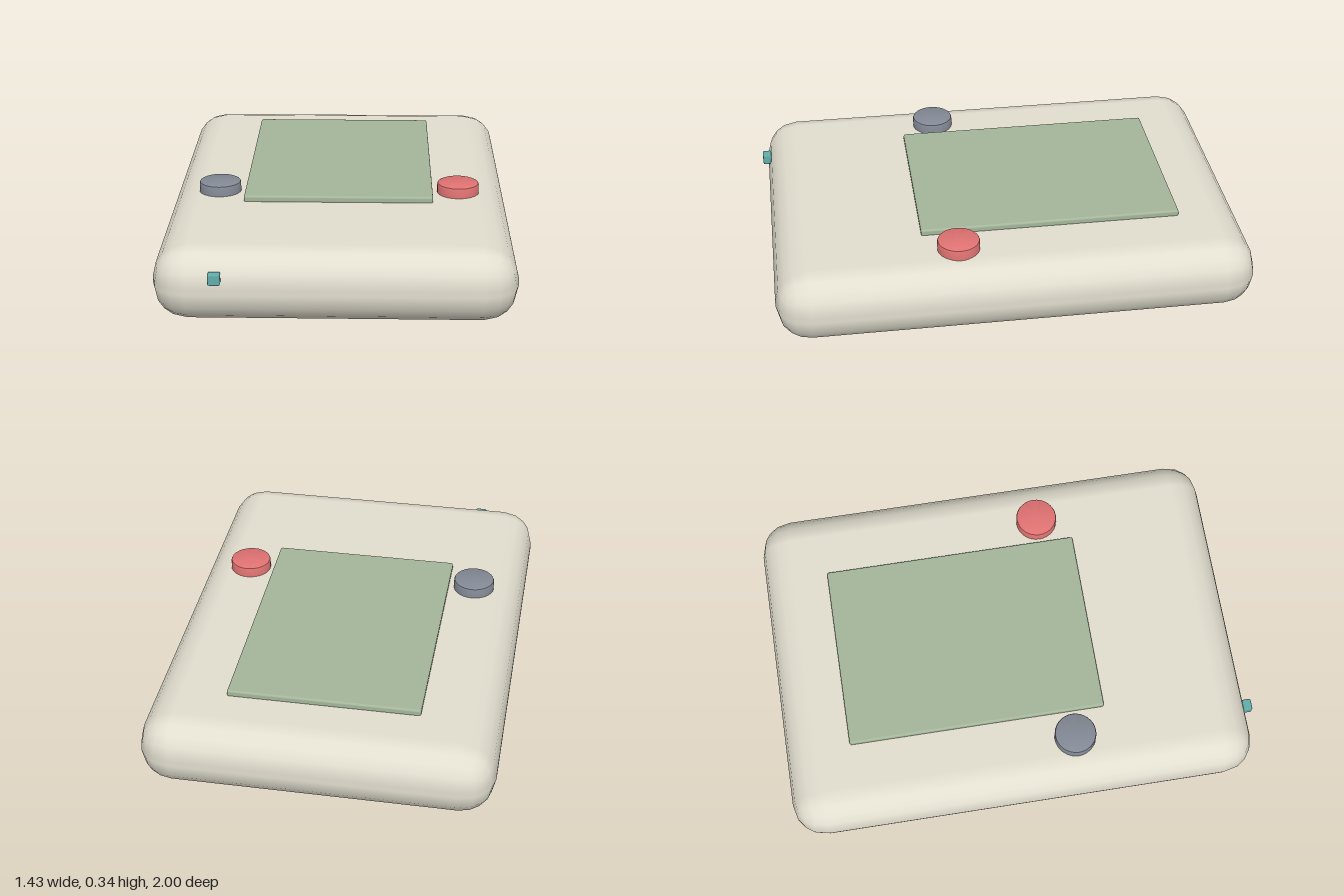
import * as THREE from 'three';
import { RoundedBoxGeometry } from 'three/addons/geometries/RoundedBoxGeometry.js';
import { toCreasedNormals } from 'three/addons/utils/BufferGeometryUtils.js';

export function createModel() {
  const model = new THREE.Group();

  function add(name, geometry, color, x, y, z) {
    const mesh = new THREE.Mesh(geometry, new THREE.MeshStandardMaterial({ color }));
    mesh.name = name;
    mesh.position.set(x, y, z);
    model.add(mesh);
  }

  // Pillow-edged case
  add('case', new RoundedBoxGeometry(1.43, 0.3, 1.977, 2, 0.139), 0xe2decf, 0, 0.15, -0.0115);

  // Raised screen panel with softened edges
  add('screen', new RoundedBoxGeometry(0.786, 0.03, 1.085, 2, 0.009), 0xa5b69a, -0.001, 0.31, -0.178);

  // Round buttons: a lathed disc with a small bevel on the rim
  const profile = [[0, 0], [0.0875, 0], [0.0875, 0.046], [0.085, 0.052], [0.079, 0.055], [0, 0.055]]
    .map(([r, y]) => new THREE.Vector2(r, y));
  const disc = toCreasedNormals(new THREE.LatheGeometry(profile, 32), 0.6);
  add('leftButton', disc, 0xe07272, 0.5, 0.29, 0.222);
  add('rightButton', disc, 0x838995, -0.503, 0.29, 0.222);

  // Small indicator light on the front edge
  add('indicatorLight', new RoundedBoxGeometry(0.048, 0.046, 0.038, 1, 0.006), 0x63adab, -0.461, 0.212, 0.981);

  return model;
}
